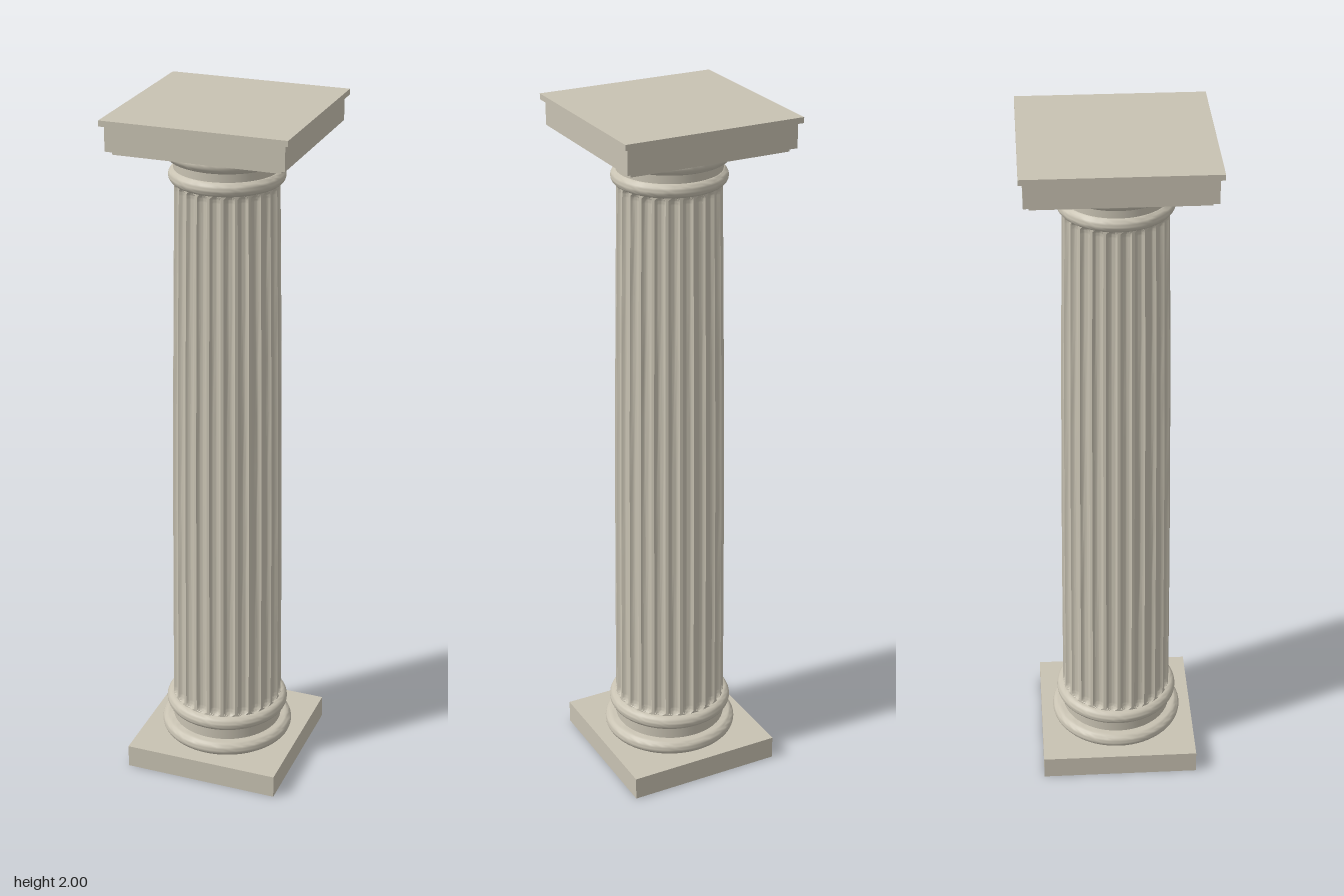
import * as THREE from 'three';
import { toCreasedNormals } from 'three/addons/utils/BufferGeometryUtils.js';

const stone = new THREE.MeshStandardMaterial({ color: 0xc8c2b2 });
stone.name = 'stone';

function add(group, name, geometry) {
  const mesh = new THREE.Mesh(geometry, stone);
  mesh.name = name;
  group.add(mesh);
}

// Square slab between two heights
function slab(group, name, half, y0, y1) {
  const g = new THREE.BoxGeometry(half * 2, y1 - y0, half * 2);
  add(group, name, g.translate(0, (y0 + y1) / 2, 0));
}

// Half-round moulding between two heights, bulging to radius r
function roll(group, name, r, y0, y1) {
  const h = (y1 - y0) / 2, pts = [new THREE.Vector2(0, y0)];
  for (let i = 0; i <= 12; i++) {
    const a = -Math.PI / 2 + (Math.PI * i) / 12;
    pts.push(new THREE.Vector2(r - h + Math.cos(a) * h, y0 + h + Math.sin(a) * h));
  }
  pts.push(new THREE.Vector2(0, y1));
  add(group, name, toCreasedNormals(new THREE.LatheGeometry(pts, 64), 0.7));
}

function drum(group, name, rTop, rBottom, y0, y1) {
  const g = new THREE.CylinderGeometry(rTop, rBottom, y1 - y0, 64);
  add(group, name, g.translate(0, (y0 + y1) / 2, 0));
}

// Tapered shaft with round-ended flutes separated by narrow fillets
function flutedShaft(y0, y1, rBottom, rTop) {
  const flutes = 24, steps = 10, rows = 24, depth = 0.012, endLength = 0.025;
  const g = new THREE.CylinderGeometry(1, 1, 1, flutes * steps, rows, true);
  const p = g.attributes.position;
  const ends = [0, 0.003, 0.006, 0.01, 0.015, 0.02, 0.025, 0.03];
  const heights = [
    ...ends.map((e) => y0 + e),
    ...Array.from({ length: rows + 1 - 16 }, (_, i) => y0 + ((y1 - y0) * (i + 1)) / (rows + 2 - 16)),
    ...ends.map((e) => y1 - e).reverse(),
  ];
  for (let i = 0; i < p.count; i++) {
    const row = Math.round((p.getY(i) + 0.5) * rows), y = heights[row];
    const t = (y - y0) / (y1 - y0);
    const col = i % (flutes * steps + 1);
    const angle = (col / (flutes * steps)) * Math.PI * 2;
    // Position across the flute: -1 and 1 are its edges
    const across = (((col % steps) / steps) * 2 - 1) / 0.8;
    const fromEnd = Math.min(y - y0, y1 - y);
    const along = Math.max(0, 1 - fromEnd / endLength);
    const cut = depth * Math.sqrt(Math.max(0, 1 - across * across - along * along));
    const r = rBottom + (rTop - rBottom) * t + 0.003 * Math.sin(Math.PI * t) - cut;
    p.setXYZ(i, Math.sin(angle) * r, y, Math.cos(angle) * r);
  }
  return toCreasedNormals(g, 0.55);
}

export function createModel() {
  const column = new THREE.Group();
  column.name = 'flutedColumn';

  // Base
  const base = new THREE.Group();
  base.name = 'base';
  slab(base, 'plinth', 0.23, 0, 0.068);
  roll(base, 'lowerBaseMoulding', 0.195, 0.068, 0.112);
  drum(base, 'baseNeck', 0.162, 0.162, 0.11, 0.148);
  roll(base, 'upperBaseMoulding', 0.181, 0.146, 0.19);

  // Capital
  const capital = new THREE.Group();
  capital.name = 'capital';
  roll(capital, 'neckRing', 0.159, 1.79, 1.832);
  drum(capital, 'capitalNeck', 0.145, 0.145, 1.83, 1.86);
  roll(capital, 'echinus', 0.171, 1.855, 1.906);
  slab(capital, 'abacusFoot', 0.232, 1.904, 1.915);
  slab(capital, 'abacus', 0.247, 1.915, 1.984);
  slab(capital, 'abacusLip', 0.258, 1.984, 2);

  column.add(base, capital);
  add(column, 'shaft', flutedShaft(0.188, 1.793, 0.162, 0.143));
  return column;
}
